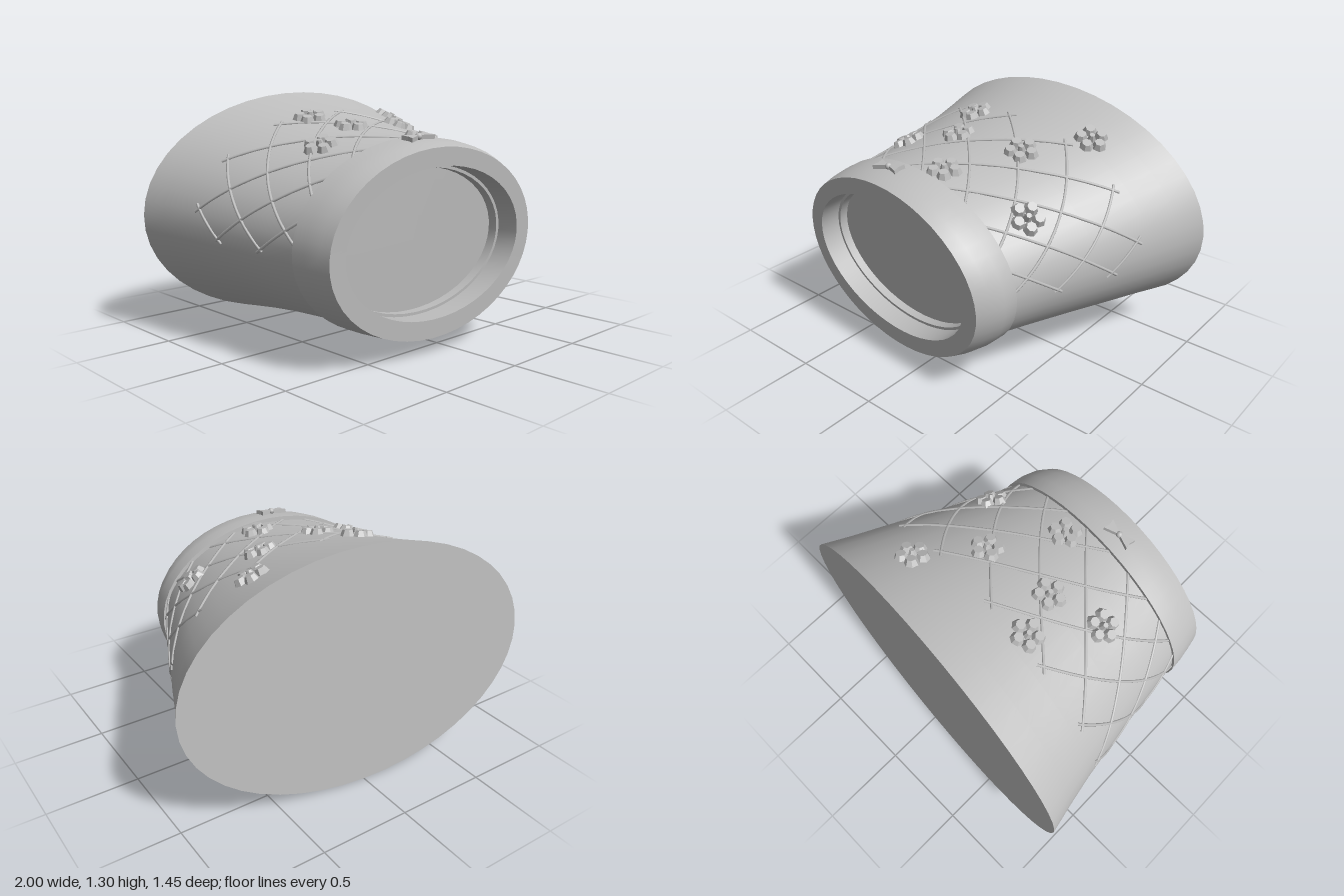
import * as THREE from 'three';
import { toCreasedNormals } from 'three/addons/utils/BufferGeometryUtils.js';

const SEG = 48;
const TILT_X = 0.085, TILT_Y = 0.07; // every cross-section lies in the same slanted plane

// Sections: [w (depth at centre), left edge, right edge, bottom, top]
const BODY = [
  [-0.625, -1, 1, 0, 1.3],
  [-0.47, -0.967, 0.93, 0.022, 1.255],
  [-0.3, -0.935, 0.86, 0.045, 1.208],
  [0, -0.893, 0.73, 0.08, 1.133],
  [0.25, -0.865, 0.62, 0.1, 1.085],
  [0.47, -0.843, 0.525, 0.112, 1.057],
];
const BAND = [
  [0.44, -0.86, 0.555, 0.08, 1.085],
  [0.52, -0.855, 0.547, 0.08, 1.08],
  [0.6, -0.842, 0.52, 0.084, 1.066],
  [0.66, -0.83, 0.48, 0.09, 1.045],
];
const RECESS = [
  [0.66, -0.742, 0.39, 0.188, 0.953],
  [0.54, -0.742, 0.39, 0.188, 0.953],
  [0.54, -0.725, 0.373, 0.203, 0.938],
  [0.49, -0.725, 0.373, 0.203, 0.938],
  [0.49, -0.176, -0.176, 0.57, 0.57],
];

// Section of a table at depth w
function sectionAt(table, w) {
  let i = 0;
  while (i < table.length - 2 && w > table[i + 1][0]) i++;
  const a = table[i], b = table[i + 1];
  const k = (w - a[0]) / (b[0] - a[0]);
  return a.map((v, j) => v + (b[j] - v) * k);
}

// Point on a section's slanted ellipse
function pointOn([w, l, r, b, t], theta) {
  const dx = (r - l) / 2 * Math.cos(theta), dy = (t - b) / 2 * Math.sin(theta);
  return new THREE.Vector3((l + r) / 2 + dx, (b + t) / 2 + dy, w + TILT_X * dx + TILT_Y * dy);
}

function loft(sections) {
  const pos = [], idx = [];
  sections.forEach((s, i) => {
    for (let j = 0; j < SEG; j++) {
      pos.push(...pointOn(s, j / SEG * Math.PI * 2).toArray());
      if (i === sections.length - 1) continue;
      const a = i * SEG + j, b = i * SEG + (j + 1) % SEG;
      idx.push(a, b, a + SEG, b, b + SEG, a + SEG);
    }
  });
  const g = new THREE.BufferGeometry();
  g.setAttribute('position', new THREE.Float32BufferAttribute(pos, 3));
  g.setIndex(idx);
  return toCreasedNormals(g, 0.55);
}

// Place an object on the upper surface above plan position x, z
function placeOnTop(object, table, x, z, spin) {
  let w = z, theta = Math.PI / 2;
  for (let i = 0; i < 12; i++) {
    const s = sectionAt(table, w);
    theta = Math.acos(THREE.MathUtils.clamp((x - (s[1] + s[2]) / 2) / ((s[2] - s[1]) / 2), -1, 1));
    w += z - pointOn(s, theta).z;
  }
  const at = (dw, dt) => pointOn(sectionAt(table, w + dw), theta + dt);
  const p = at(0, 0);
  const normal = at(0, 0.02).sub(at(0, -0.02)).cross(at(0.02, 0).sub(at(-0.02, 0))).normalize();
  object.position.copy(p);
  object.quaternion.setFromUnitVectors(new THREE.Vector3(0, 1, 0), normal);
  object.rotateY(spin);
}

export function createModel() {
  const model = new THREE.Group();
  const grey = new THREE.MeshStandardMaterial({ color: 0xbebebe });
  const add = (parent, name, geometry) => {
    const m = new THREE.Mesh(geometry, grey);
    m.name = name;
    parent.add(m);
    return m;
  };
  const flat = (g) => {
    const f = g.index ? g.toNonIndexed() : g;
    f.computeVertexNormals();
    return f;
  };

  // Flared body with a closed back, and the rim band with its stepped recess
  add(model, 'body', loft([[-0.625, 0, 0, 0.65, 0.65], ...BODY]));
  add(model, 'rimBand', loft([[0.44, -0.8, 0.49, 0.13, 1.03], ...BAND, ...RECESS]));

  // Diagonal trellis wrapped over the upper half
  const trellis = new THREE.Group();
  trellis.name = 'trellis';
  model.add(trellis);
  const RAD = Math.PI / 180, W0 = -0.255, W1 = 0.46, SWEEP = 64;
  for (const dir of [1, -1]) {
    for (let k = -2; k <= 8; k++) {
      const start = 10 + k * 26.7 - dir * 2;
      const pts = [];
      for (let i = 0; i <= 40; i++) {
        const deg = start + dir * SWEEP * i / 40;
        if (deg < -6 || deg > 186) continue;
        pts.push(pointOn(sectionAt(BODY, W0 + (W1 - W0) * i / 40), deg * RAD));
      }
      if (pts.length < 5) continue;
      const curve = new THREE.CatmullRomCurve3(pts);
      add(trellis, 'trellisStrand', new THREE.TubeGeometry(curve, pts.length * 2, 0.008, 6, false));
    }
  }

  // Five-petalled flowers
  const petal = flat(new THREE.CylinderGeometry(0.026, 0.04, 0.034, 7));
  const heart = flat(new THREE.CylinderGeometry(0.014, 0.025, 0.04, 7));
  const spots = [[-0.28, -0.18], [-0.2, 0.06], [-0.49, 0.15], [0.2, 0.02],
    [0.43, -0.28], [0.455, 0.3], [-0.01, 0.38]];
  spots.forEach(([x, z], n) => {
    const flower = new THREE.Group();
    flower.name = 'flower';
    for (let i = 0; i < 5; i++) {
      const a = i / 5 * Math.PI * 2;
      const p = add(flower, 'petal', petal);
      p.position.set(Math.cos(a) * 0.057, 0.012, Math.sin(a) * 0.057);
      p.rotation.y = -a;
    }
    add(flower, 'flowerCentre', heart).position.y = 0.016;
    placeOnTop(flower, BODY, x, z, n * 0.9);
    model.add(flower);
  });

  // Small bow on the rim band
  const bow = new THREE.Group();
  bow.name = 'bow';
  for (const s of [1, -1]) {
    const shape = new THREE.Shape([[0.01, -0.008], [0.08, -0.036], [0.072, 0], [0.08, 0.036], [0.01, 0.008]]
      .map(([x, y]) => new THREE.Vector2(x, y)));
    const loop = add(bow, 'bowLoop', new THREE.ExtrudeGeometry(shape, { depth: 0.022, bevelEnabled: false }));
    loop.rotation.set(-Math.PI / 2, 0, s > 0 ? 0 : Math.PI);
  }
  add(bow, 'bowKnot', new THREE.SphereGeometry(0.018, 10, 8)).position.y = 0.014;
  placeOnTop(bow, BAND, -0.22, 0.56, 0);
  model.add(bow);

  return model;
}
